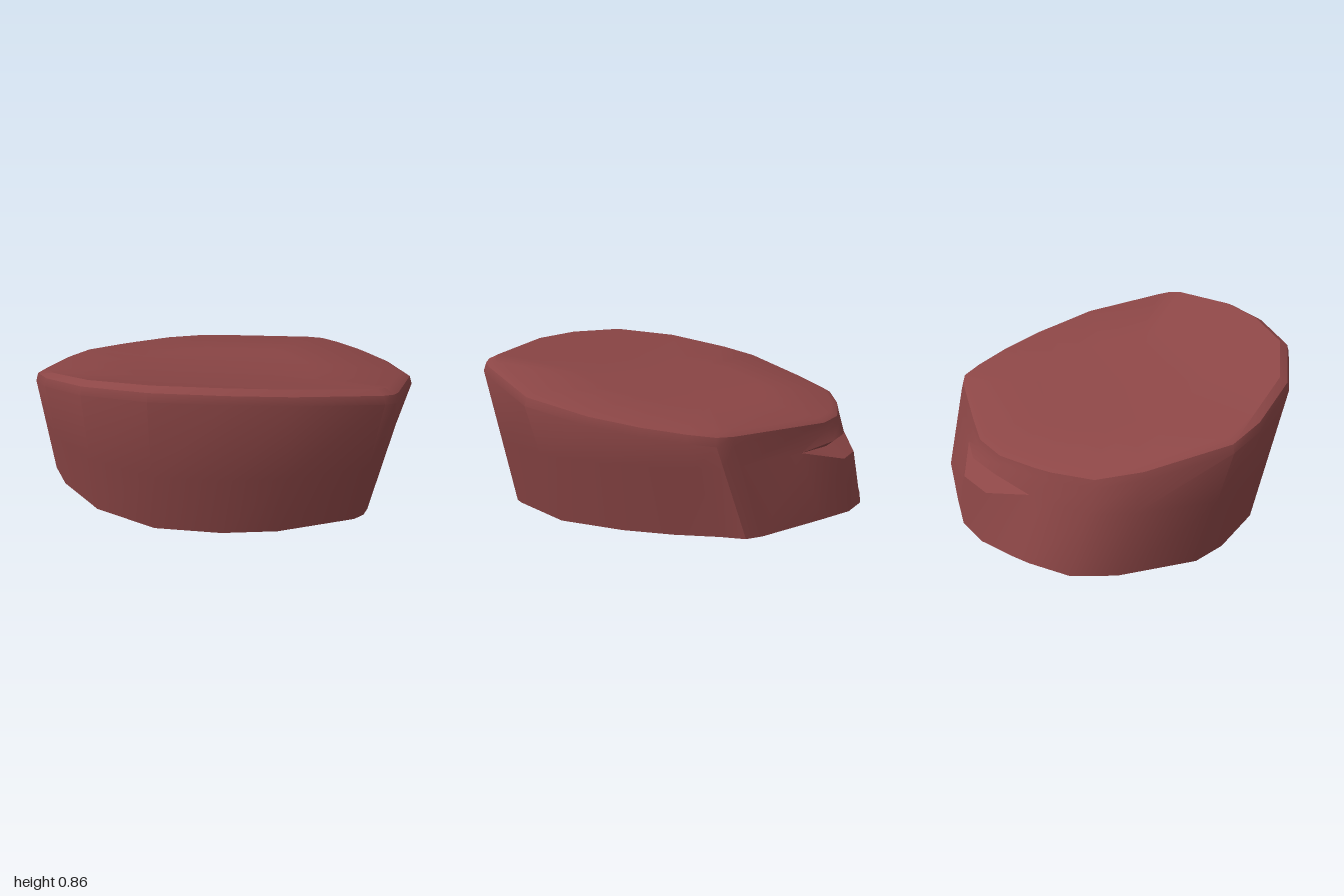
import * as THREE from 'three';
import { toCreasedNormals } from 'three/addons/utils/BufferGeometryUtils.js';

// Widest outline just under the rim, [x, z], counter-clockwise seen from above
const OUTLINE = [
  [-1, -0.07], [-0.98, 0.13], [-0.85, 0.46], [-0.58, 0.74], [-0.23, 0.89], [0.08, 0.96],
  [0.55, 0.965], [0.62, 0.94], [0.67, 0.89], [0.94, 0.5], [0.99, 0.13], [0.97, -0.14],
  [0.92, -0.36], [0.87, -0.49], [0.79, -0.55], [0.37, -0.735], [0.14, -0.83], [-0.08, -0.845],
  [-0.32, -0.79], [-0.42, -0.76], [-0.65, -0.66], [-0.8, -0.47],
];
const NOTCH = [16, 17]; // outline points where the back notch is fully open

// Sloping, slightly twisted height of the top
const topY = (x, z) => 0.635 - 0.067 * x + 0.2 * z + 0.03 * z * z - 0.05 * x * z;

// Bottom edge: narrower and shifted to the back
const foot = ([x, z]) => new THREE.Vector3(x * (z < -0.4 ? 0.95 : 0.91), 0, 0.986 * z - 0.141);

// Ring inset from the outline and dropped below the top surface
const rimRing = (inset, drop) => OUTLINE.map(([x, z]) => {
  const k = 1 - inset;
  return new THREE.Vector3(x * k, topY(x, z) - drop, z * k);
});

function createBodyGeometry() {
  const bottom = OUTLINE.map(foot);
  const rim = rimRing(0, 0.065);
  // Wall ring at mid height; the notch points take their own height and depth
  const wallRing = (y, z) => rim.map((p, i) => {
    const v = bottom[i].clone().lerp(p, 0.34 / p.y);
    if (NOTCH.includes(i)) v.set(v.x, y, z);
    return v;
  });
  const rings = [
    bottom,
    wallRing(0.28, -0.93), // notch lower lip
    wallRing(0.34, -0.83), // notch depth
    wallRing(0.37, -0.87), // notch upper lip
    rim,
    rimRing(0.012, 0.022), // bevel
    rimRing(0.055, 0),
    rimRing(0.5, 0).map((p) => p.setY(topY(p.x, p.z) - 0.015)), // shallow dish
  ];

  const positions = [];
  const tri = (a, b, c) => {
    if (new THREE.Triangle(a, b, c).getArea() > 1e-7) {
      for (const p of [a, b, c]) positions.push(p.x, p.y, p.z);
    }
  };
  const n = OUTLINE.length;
  const under = new THREE.Vector3(0, 0, -0.1);
  const centre = new THREE.Vector3(0, topY(0, 0) - 0.02, 0);
  for (let i = 0; i < n; i++) {
    const j = (i + 1) % n;
    for (let r = 0; r < rings.length - 1; r++) {
      const lo = rings[r], hi = rings[r + 1];
      tri(lo[i], lo[j], hi[j]);
      tri(lo[i], hi[j], hi[i]);
    }
    const last = rings[rings.length - 1];
    tri(last[i], last[j], centre);
    tri(bottom[j], bottom[i], under);
  }
  const geometry = new THREE.BufferGeometry();
  geometry.setAttribute('position', new THREE.Float32BufferAttribute(positions, 3));
  return toCreasedNormals(geometry, 0.6);
}

export function createModel() {
  const group = new THREE.Group();
  group.name = 'notchedBlock';
  const material = new THREE.MeshStandardMaterial({ color: 0x8c4646 });
  material.name = 'dull red';
  const body = new THREE.Mesh(createBodyGeometry(), material);
  body.name = 'body';
  group.add(body);
  return group;
}
